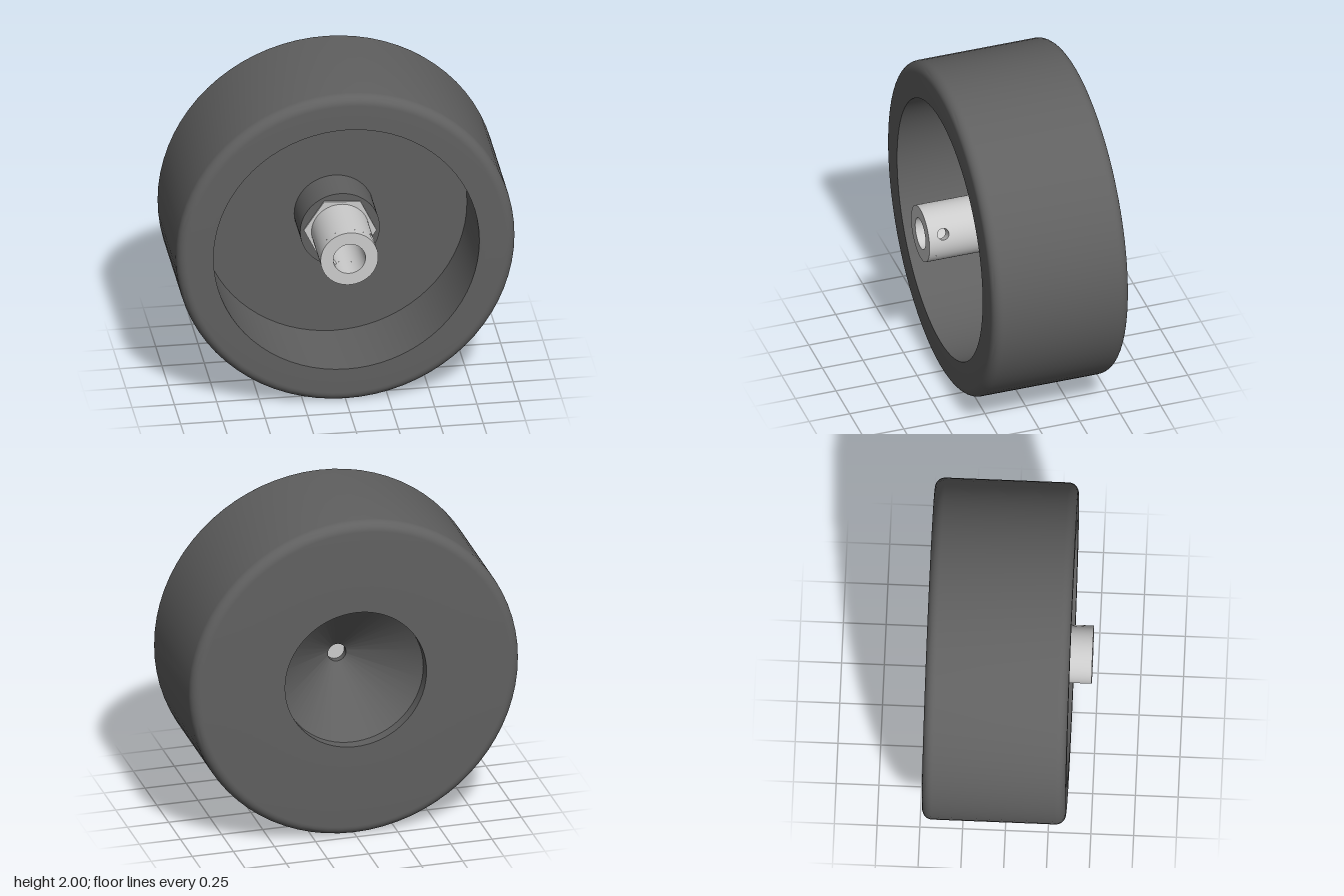
import * as THREE from 'three';
import { toCreasedNormals } from 'three/addons/utils/BufferGeometryUtils.js';
import { ParametricGeometry } from 'three/addons/geometries/ParametricGeometry.js';

const SEG = 72;
const TILT = -0.07;                 // rotation of the hex and cross hole about the axle
const OUTER = 0.17, BORE = 0.095;   // shaft radii
const TIP = 0.48, BORE_END = 0.1;   // shaft front, bottom of bore
const HOLE_R = 0.035, HOLE_Z = 0.39, PATCH = 0.045;
const HOLE_ANGLES = [TILT + Math.PI / 6, TILT + Math.PI * 7 / 6];

export function createModel() {
  const model = new THREE.Group();
  const rubber = new THREE.MeshStandardMaterial({ color: 0x606060 });
  const metal = new THREE.MeshStandardMaterial({ color: 0xcccccc });
  const thinMetal = new THREE.MeshStandardMaterial({ color: 0xcccccc, side: THREE.DoubleSide });

  const add = (parent, name, geometry, material, z = 0) => {
    const mesh = new THREE.Mesh(geometry, material);
    mesh.name = name;
    mesh.position.z = z;
    parent.add(mesh);
    return mesh;
  };

  // Wheel: back cone, rounded tread, front recess and centre boss in one profile
  const profile = [[0.055, 0.08], [0.055, -0.08], [0.43, -0.41], [0.43, -0.48]];
  const fillet = (z, from) => {
    for (let i = 0; i <= 8; i++) {
      const a = from + (i / 8) * Math.PI / 2;
      profile.push([0.94 + 0.06 * Math.cos(a), z + 0.06 * Math.sin(a)]);
    }
  };
  fillet(-0.42, -Math.PI / 2);
  fillet(0.3, 0);
  profile.push([0.785, 0.36], [0.785, -0.14], [0.235, -0.14], [0.235, 0.1], [0.055, 0.1]);
  const wheel = new THREE.LatheGeometry(profile.map(([r, z]) => new THREE.Vector2(r, z)), SEG);
  wheel.rotateX(Math.PI / 2);
  add(model, 'wheel', toCreasedNormals(wheel, 0.5), rubber);

  // Hexagonal collar set into the boss; its back closes the hole in the cone
  const hex = new THREE.CylinderGeometry(0.215, 0.215, 0.15, 6);
  hex.rotateX(Math.PI / 2);
  hex.rotateZ(Math.PI / 6 * 3 + TILT);
  add(model, 'hexCollar', toCreasedNormals(hex, 0.5), metal, 0.035);

  // Hollow shaft with a cross hole through both walls
  const shaft = new THREE.Group();
  shaft.name = 'shaft';
  model.add(shaft);

  const onCylinder = (r, angle, z, target) =>
    target.set(r * Math.cos(angle), r * Math.sin(angle), z);

  const wall = (name, r, a0, a1, z0, z1) => add(shaft, name, new ParametricGeometry(
    (u, v, p) => onCylinder(r, a0 + u * (a1 - a0), z0 + v * (z1 - z0), p), SEG, 1), thinMetal);

  for (const [name, r, back] of [['shaftOuter', OUTER, 0.1], ['shaftBore', BORE, BORE_END]]) {
    wall(name + 'Rear', r, 0, Math.PI * 2, back, HOLE_Z - PATCH);
    wall(name + 'Front', r, 0, Math.PI * 2, HOLE_Z + PATCH, TIP);
    const half = Math.asin(PATCH / r);
    for (const angle of HOLE_ANGLES) {
      wall(name + 'Side', r, angle + half, angle + Math.PI - half, HOLE_Z - PATCH, HOLE_Z + PATCH);
      // Patch running from the round hole to a square border
      add(shaft, name + 'HoleSurround', new ParametricGeometry((u, v, p) => {
        const c = Math.cos(u * Math.PI * 2), s = Math.sin(u * Math.PI * 2);
        const edge = PATCH / Math.max(Math.abs(c), Math.abs(s));
        const d = HOLE_R + v * (edge - HOLE_R);
        const side = THREE.MathUtils.clamp(d * c / r, -1, 1);
        onCylinder(r, angle + Math.asin(side), HOLE_Z + d * s, p);
      }, 32, 4), thinMetal);
    }
  }

  // Walls of the cross hole
  for (const angle of HOLE_ANGLES) {
    add(shaft, 'crossHole', new ParametricGeometry((u, v, p) => {
      const a = u * Math.PI * 2, r = BORE + v * (OUTER - BORE);
      const side = Math.asin(HOLE_R * Math.cos(a) / r);
      onCylinder(r, angle + side, HOLE_Z + HOLE_R * Math.sin(a), p);
    }, 32, 2), thinMetal);
  }

  add(shaft, 'shaftTip', new THREE.RingGeometry(BORE, OUTER, SEG), metal, TIP);
  add(shaft, 'boreBottom', new THREE.CircleGeometry(BORE, SEG), metal, BORE_END + 0.012);

  // Stand the wheel on the ground
  model.position.y = 1;
  const root = new THREE.Group();
  root.name = 'casterWheel';
  root.add(model);
  return root;
}
